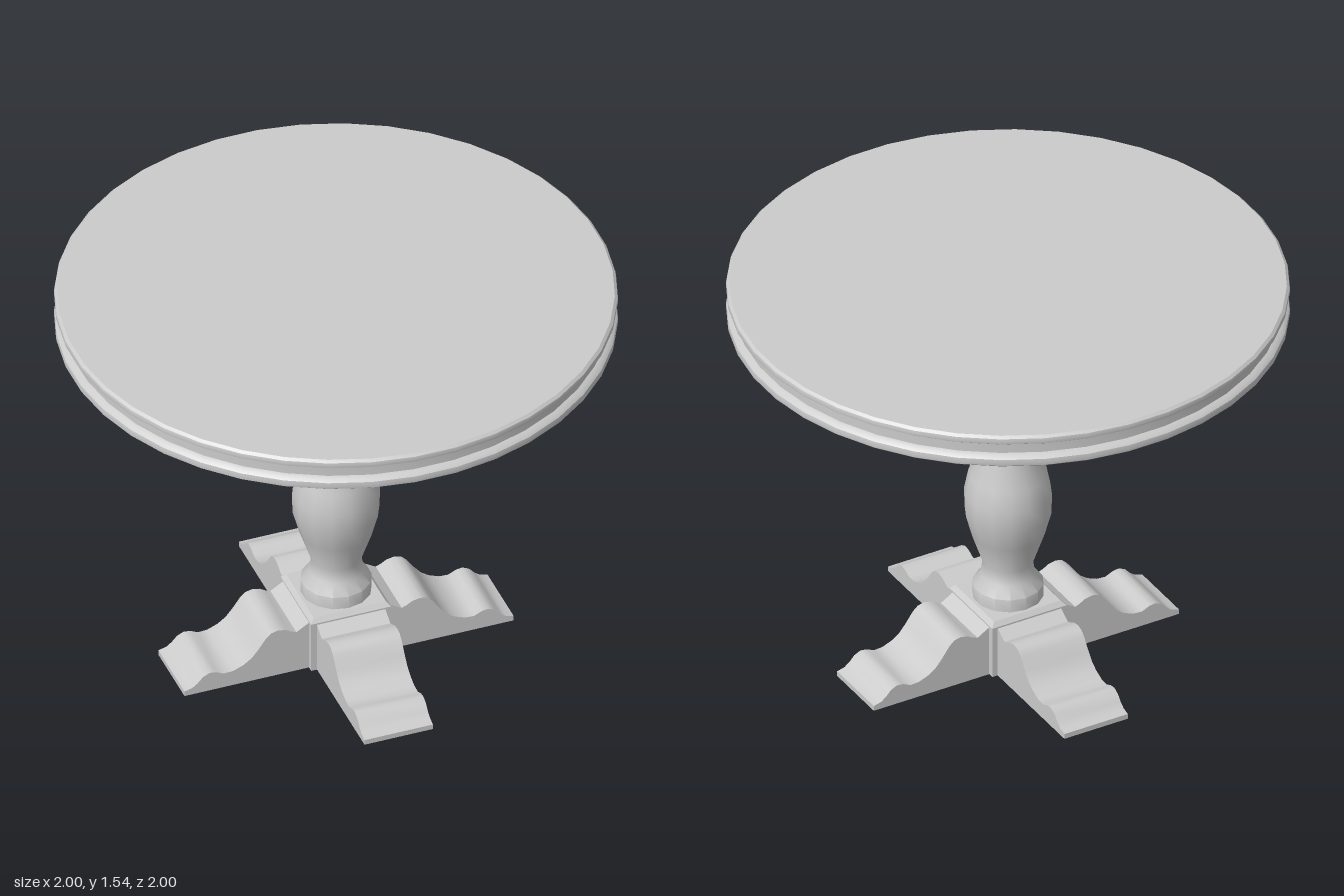
import * as THREE from 'three';
import { toCreasedNormals } from 'three/addons/utils/BufferGeometryUtils.js';

const solid = new THREE.MeshStandardMaterial({ color: 0xcccccc });
const shell = new THREE.MeshStandardMaterial({ color: 0xcccccc, side: THREE.DoubleSide });

const vectors = (pairs) => pairs.map(([x, y]) => new THREE.Vector2(x, y));

function addMesh(parent, name, geometry, material) {
  const mesh = new THREE.Mesh(geometry, material);
  mesh.name = name;
  parent.add(mesh);
  return mesh;
}

// Turned outline, listed from bottom to top; creases sharper than the angle stay hard
function turned(pairs, sides, start, crease) {
  return toCreasedNormals(new THREE.LatheGeometry(vectors(pairs), sides, start), crease);
}

// Upper contour of a scrolled foot, running outward from the block
const footContour = [
  [0.15, 0.2], [0.2, 0.17], [0.22, 0.178], [0.24, 0.19], [0.27, 0.196], [0.295, 0.19],
  [0.315, 0.172], [0.345, 0.13], [0.37, 0.1], [0.4, 0.078], [0.44, 0.062], [0.475, 0.06],
  [0.505, 0.074], [0.53, 0.077], [0.555, 0.065], [0.575, 0.043], [0.595, 0.028],
  [0.625, 0.02], [0.625, 0],
];
const footHalfWidth = 0.13;

function createFoot() {
  const foot = new THREE.Group();
  foot.name = 'foot';

  // Scrolled top: a strip bent along the contour, open underneath
  const last = footContour.length - 1;
  const strip = new THREE.PlaneGeometry(last, 2 * footHalfWidth, last, 1).rotateX(-Math.PI / 2);
  const pos = strip.attributes.position;
  for (let i = 0; i < pos.count; i++) {
    const [x, y] = footContour[i % (last + 1)];
    pos.setXY(i, x, y);
  }
  strip.computeVertexNormals();
  addMesh(foot, 'footTop', toCreasedNormals(strip, 0.7), shell);

  // Flat side panels, both facing outward
  for (const side of [1, -1]) {
    const outline = [[0.15, 0], ...footContour].map(([x, y]) => [side * x, y]);
    const panel = new THREE.ShapeGeometry(new THREE.Shape(vectors(outline)));
    panel.translate(0, 0, footHalfWidth);
    if (side < 0) panel.rotateY(Math.PI);
    addMesh(foot, 'footSide', panel, shell);
  }
  return foot;
}

export function createModel() {
  const table = new THREE.Group();
  table.name = 'pedestalTable';

  // Round top with a bead above and below a recessed band
  addMesh(table, 'tableTop', turned([
    [0, 1.41], [0.99, 1.41], [1, 1.418], [1.002, 1.43], [1, 1.443], [0.99, 1.453],
    [0.976, 1.458], [0.976, 1.497], [0.99, 1.503], [1, 1.51], [1.002, 1.521],
    [1, 1.531], [0.99, 1.54], [0, 1.54],
  ], 40, Math.PI / 40, 0.6), solid);

  // Turned column
  addMesh(table, 'column', turned([
    [0.128, 0.22], [0.128, 0.272], [0.097, 0.312], [0.091, 0.365], [0.132, 0.485],
    [0.156, 0.575], [0.158, 0.655], [0.142, 0.735], [0.107, 0.835], [0.102, 0.88],
    [0.147, 0.975], [0.147, 1.07], [0.094, 1.195], [0.166, 1.41],
  ], 14, 0, 0.75), shell);

  // Square block with bevelled top, hollow from below
  const d = Math.SQRT2;
  addMesh(table, 'baseBlock', turned([
    [0.152 * d, 0], [0.152 * d, 0.205], [0.137 * d, 0.222], [0, 0.222],
  ], 4, Math.PI / 4, 0.3), shell);

  // Four feet in a cross
  for (let i = 0; i < 4; i++) {
    const foot = createFoot();
    foot.rotation.y = (i * Math.PI) / 2;
    table.add(foot);
  }
  return table;
}
